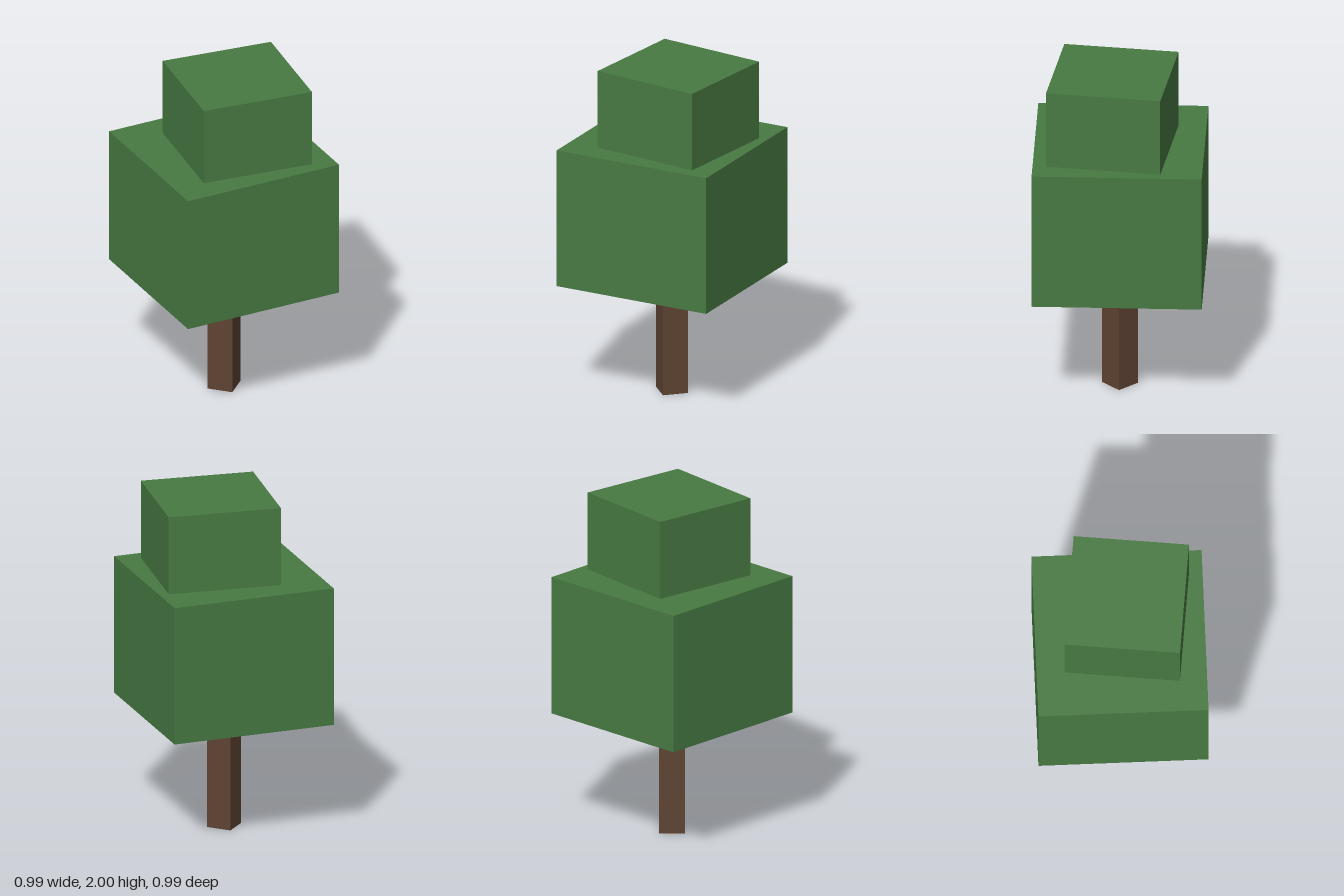
import * as THREE from 'three';

export function createModel() {
  const tree = new THREE.Group();
  tree.name = 'blockTree';

  const leafGreen = new THREE.MeshStandardMaterial({ name: 'leafGreen', color: 0x487a43 });
  const barkBrown = new THREE.MeshStandardMaterial({ name: 'barkBrown', color: 0x5e4332 });

  // Square block from y0 to y1, turned about the vertical axis
  function block(name, material, side, y0, y1, x, z, turn) {
    const mesh = new THREE.Mesh(new THREE.BoxGeometry(side, y1 - y0, side), material);
    mesh.name = name;
    mesh.position.set(x, (y0 + y1) / 2, z);
    mesh.rotation.y = turn;
    tree.add(mesh);
  }

  // Trunk stands corner-on to the front
  block('trunk', barkBrown, 0.148, 0, 0.705, 0, 0, Math.PI / 4);
  // Large foliage block, very slightly turned
  block('lowerFoliage', leafGreen, 0.977, 0.705, 1.533, 0, 0, 0.0115);
  // Small foliage block, offset and turned the other way
  block('upperFoliage', leafGreen, 0.664, 1.533, 2, 0.065, 0.041, -0.108);

  return tree;
}
